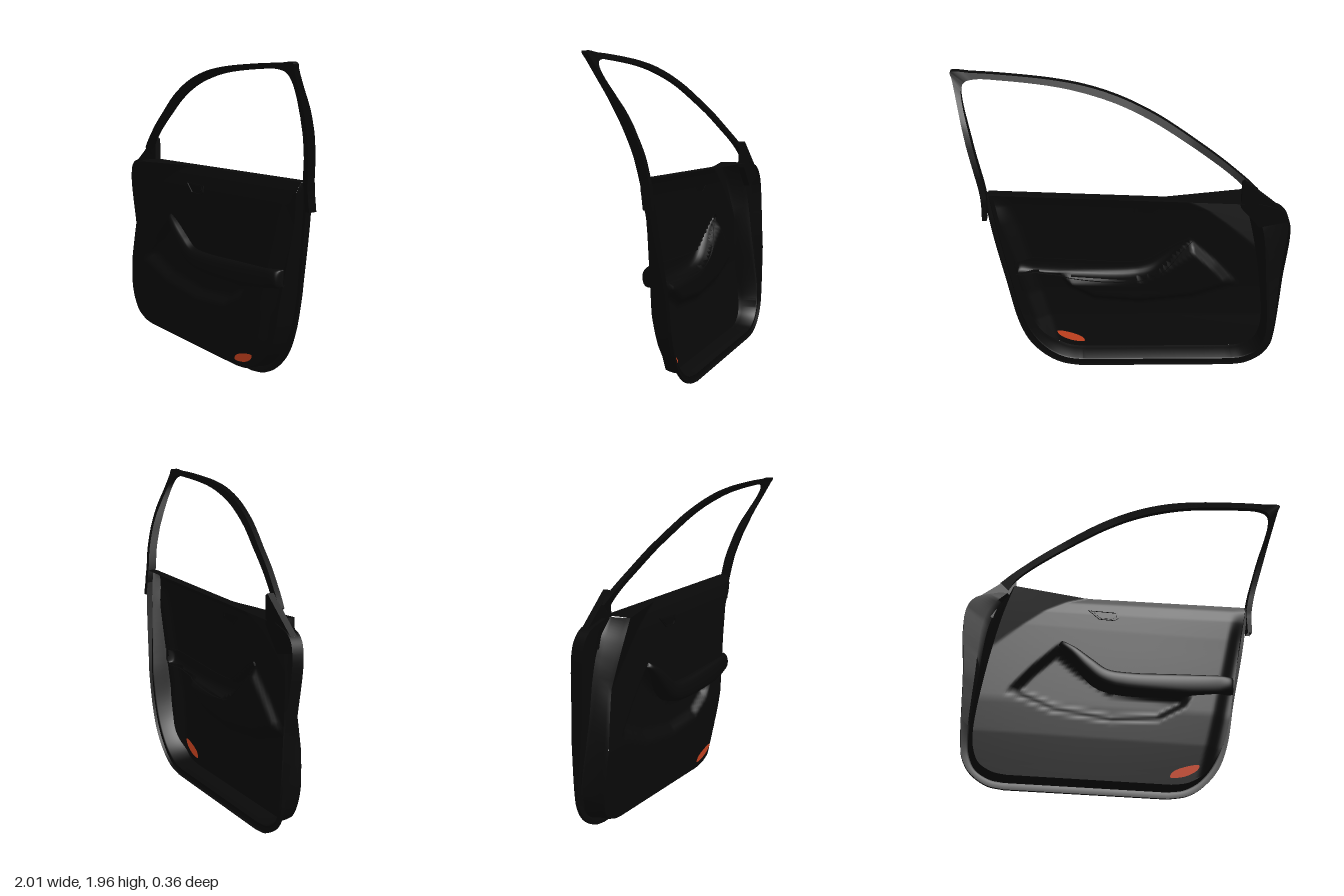
import * as THREE from 'three';
import { toCreasedNormals } from 'three/addons/utils/BufferGeometryUtils.js';

const material = (name, color) => {
  const m = new THREE.MeshStandardMaterial({ color, side: THREE.DoubleSide });
  m.name = name;
  return m;
};
const trim = material('blackTrim', 0x090909);
const frameBlack = material('frameBlack', 0x080808);
const orange = material('reflectorOrange', 0xcc4420);

const { lerp, clamp, smoothstep } = THREE.MathUtils;

// Piecewise linear value from [position, value] pairs
function ramp(pairs, p) {
  if (p <= pairs[0][0]) return pairs[0][1];
  for (let i = 1; i < pairs.length; i++) {
    const [a, va] = pairs[i - 1], [b, vb] = pairs[i];
    if (p <= b) return lerp(va, vb, (p - a) / (b - a));
  }
  return pairs[pairs.length - 1][1];
}

// Distance from a point inside a polygon to its border, 0 outside
function insideDistance(poly, x, y) {
  let inside = false, best = Infinity;
  poly.forEach(([ax, ay], i) => {
    const [bx, by] = poly[(i + 1) % poly.length], dx = bx - ax, dy = by - ay;
    if ((ay > y) !== (by > y) && x < ax + dx * (y - ay) / dy) inside = !inside;
    const t = clamp(((x - ax) * dx + (y - ay) * dy) / (dx * dx + dy * dy), 0, 1);
    best = Math.min(best, Math.hypot(x - ax - dx * t, y - ay - dy * t));
  });
  return inside ? best : 0;
}

const curve = pts => new THREE.CatmullRomCurve3(pts.map(([x, y, z = 0]) => new THREE.Vector3(x, y, z)));
const polygon = pts => new THREE.Shape(pts.map(([x, y]) => new THREE.Vector2(x, y)));

// Surface through rows of equally many points; keep(x, y) may leave cells open
function skin(rows, keep = () => true) {
  const n = rows[0].length, index = [];
  for (let r = 0; r < rows.length - 1; r++) {
    for (let c = 0; c < n - 1; c++) {
      const a = r * n + c, b = a + n, p = rows[r][c], q = rows[r + 1][c + 1];
      if (keep((p[0] + q[0]) / 2, (p[1] + q[1]) / 2)) index.push(a, a + 1, b + 1, a, b + 1, b);
    }
  }
  const g = new THREE.BufferGeometry();
  g.setAttribute('position', new THREE.Float32BufferAttribute(rows.flat(2), 3));
  g.setIndex(index);
  g.computeVertexNormals();
  return g;
}

// Depth of the moulded face at (x, y)
const BASE = [[0.04, -0.045], [0.12, -0.035], [0.3, -0.012], [0.5, 0], [0.75, -0.01], [1.0, -0.02],
  [1.1, -0.028], [1.17, -0.045], [1.23, -0.075], [1.29, -0.115]];
const SCOOP = [[-0.43, 0.89], [-0.6, 0.72], [-0.74, 0.55], [-0.45, 0.44], [-0.1, 0.4], [0.2, 0.43], [0.37, 0.53],
  [0.42, 0.63], [-0.08, 0.65], [-0.27, 0.76]];
function faceZ(x, y) {
  const yn = y - 0.0467 * (x + 0.7) * smoothstep(y, 0.9, 1.22);
  let z = ramp(BASE, yn);
  z -= 0.05 * smoothstep(insideDistance(SCOOP, x, y), 0, 0.06);        // storage scoop
  const edge = 0.5 + 0.24 * y;
  z -= 0.045 * smoothstep(x, edge - 0.1, edge + 0.01) * (1 - smoothstep(yn, 1.0, 1.2));
  return Math.max(z, 0.01 + 0.23 * (yn - 1.05) - 0.25 * (x + 0.72));   // mirror corner
}
const flangeZ = y => ramp([[0, -0.174], [0.6, -0.178], [1.1, -0.145], [1.36, -0.11]], y);

// Lays a flat geometry onto the moulded face
function drape(g) {
  const p = g.attributes.position;
  for (let i = 0; i < p.count; i++) p.setZ(i, p.getZ(i) + faceZ(p.getX(i), p.getY(i)));
  g.computeVertexNormals();
  return g;
}

// Side outlines, from the bottom up: outer flange and inner trim
const outerL = curve([[-0.7, 0], [-0.8, 0.018], [-0.9, 0.085], [-0.95, 0.17], [-0.966, 0.26], [-0.983, 0.68], [-1, 1.085], [-0.95, 1.17], [-0.8, 1.22]]);
const innerL = curve([[-0.7, 0.055], [-0.78, 0.068], [-0.86, 0.115], [-0.895, 0.19], [-0.905, 0.3], [-0.86, 0.65], [-0.8, 0.95], [-0.765, 1.08], [-0.72, 1.218]]);
const outerR = curve([[0.28, 0], [0.4, 0.025], [0.5, 0.085], [0.6, 0.2], [0.665, 0.36], [0.725, 0.68], [0.78, 0.97], [0.805, 1.13], [0.825, 1.29]]);
const innerR = curve([[0.27, 0.055], [0.37, 0.072], [0.47, 0.13], [0.56, 0.24], [0.625, 0.39], [0.685, 0.68], [0.74, 0.97], [0.77, 1.13], [0.8, 1.287]]);

// Armrest and pull handle stations: top x, y, bottom x, y, front z
const ARMREST = [[-0.415, 0.905, -0.43, 0.885, -0.03], [-0.405, 0.903, -0.425, 0.875, 0], [-0.33, 0.865, -0.37, 0.815, 0.028],
  [-0.22, 0.79, -0.285, 0.71, 0.04], [-0.13, 0.735, -0.2, 0.635, 0.042], [0, 0.725, -0.08, 0.597, 0.042],
  [0.3, 0.742, 0.3, 0.602, 0.034], [0.58, 0.76, 0.58, 0.64, 0.015], [0.67, 0.765, 0.67, 0.655, 0], [0.685, 0.765, 0.685, 0.66, -0.06]];
const ARMREST_OUTLINE = [...ARMREST.map(s => [s[0], s[1]]), ...ARMREST.map(s => [s[2], s[3]]).reverse()];

// Moulded face, left open behind the hollow armrest
function buildFace() {
  const rows = [];
  for (let j = 0; j <= 110; j++) {
    const L = innerL.getPoint(j / 110), R = innerR.getPoint(j / 110), row = [];
    for (let i = 0; i <= 110; i++) {
      const x = lerp(L.x, R.x, i / 110), y = lerp(L.y, R.y, i / 110);
      row.push([x, y, faceZ(x, y)]);
    }
    rows.push(row);
  }
  return skin(rows, (x, y) => insideDistance(ARMREST_OUTLINE, x, y) < 0.015);
}

// Flange and side wall running round the face
function buildRim() {
  const N = 60, pairs = [];
  const mix = (a, b, t) => a.clone().lerp(b, t);
  for (let i = N; i > 0; i--) pairs.push([outerL.getPoint(i / N), innerL.getPoint(i / N)]);
  for (let i = 0; i < 30; i++) pairs.push([
    mix(outerL.getPoint(0), outerR.getPoint(0), i / 30), mix(innerL.getPoint(0), innerR.getPoint(0), i / 30)]);
  for (let i = 0; i <= N; i++) pairs.push([outerR.getPoint(i / N), innerR.getPoint(i / N)]);
  const rows = pairs.map(([o, n]) => {
    const zo = flangeZ(o.y), zf = faceZ(n.x, n.y);
    const lift = 0.02 + (o.x < 0 ? 0.05 * smoothstep(o.y, 0.15, 0.7) : 0.02 * smoothstep(o.y, 0.5, 1.1));
    return [[0, zo], [0, zo + lift], [0.55, zo + lift], [0.72, zo + lift * 0.7],
      [0.82, zo + lift], [0.92, lerp(zo + lift, zf, 0.8)], [1, zf]].map(([t, z]) => {
      const p = mix(o, n, t);
      return [p.x, p.y, z];
    });
  });
  return toCreasedNormals(skin(rows), 0.7);
}

// Top of the trim, running back to the glass
function buildSill() {
  const L = innerL.getPoint(1), R = innerR.getPoint(1), rows = [];
  for (let i = 0; i <= 40; i++) {
    const x = lerp(L.x, R.x, i / 40), y = lerp(L.y, R.y, i / 40), z = faceZ(x, y);
    rows.push([[x, y, z], [x, y + 0.004, lerp(z, -0.13, 0.5)], [x, y, -0.13]]);
  }
  return toCreasedNormals(skin(rows), 0.7);
}

// Triangular plate between the flange and the window frame
function buildSail() {
  const shape = polygon([[-0.998, 1.09], [-0.95, 1.17], [-0.715, 1.365], [-0.7, 1.355], [-0.7, 1.19], [-0.82, 1.05]]);
  return new THREE.ExtrudeGeometry(shape, { depth: 0.04, bevelEnabled: false }).translate(0, 0, -0.125);
}

// Window frame: top rail, corner and rear pillar
function buildFrame() {
  const st = [[-0.8, 1.292, -0.75, 1.25], [-0.72, 1.362, -0.695, 1.33], [-0.5, 1.525, -0.485, 1.49], [-0.2, 1.712, -0.185, 1.675],
    [0, 1.805, 0.01, 1.768], [0.2, 1.868, 0.21, 1.832], [0.4, 1.905, 0.4, 1.872], [0.7, 1.935, 0.7, 1.905],
    [0.88, 1.946, 0.86, 1.912], [0.998, 1.95, 0.92, 1.895], [0.988, 1.91, 0.938, 1.85], [0.92, 1.6, 0.878, 1.57],
    [0.85, 1.28, 0.815, 1.28], [0.848, 1.12, 0.82, 1.12]];
  const out = curve(st.map(s => [s[0], s[1]])), inn = curve(st.map(s => [s[2], s[3]]));
  const middle = y => ramp([[1.12, -0.115], [1.25, -0.1], [1.4, -0.06], [1.57, -0.005], [1.75, 0.07], [1.95, 0.165]], y);
  const rows = [];
  for (let i = 0; i <= 130; i++) {
    const o = out.getPoint(i / 130), n = inn.getPoint(i / 130), pillar = smoothstep(i / 130, 9 / 13, 11 / 13);
    const shift = lerp(0.015, -0.022, pillar) * clamp((1.95 - o.y) / 0.25, 0, 1) * smoothstep(o.y, 1.2, 1.5);
    const half = lerp(0.017, 0.027, pillar * smoothstep(1.95 - o.y, 0, 0.3));
    const at = (p, d) => [p.x, p.y, middle(p.y) + shift + d];
    rows.push([at(o, -half), at(o, half), at(n, half), at(n, -half), at(o, -half)]);
  }
  return toCreasedNormals(skin(rows), 0.7);
}

// Hollow armrest flowing up into the pull handle
function buildArmrest() {
  const top = curve(ARMREST.map(s => [s[0], s[1], s[4]]));
  const low = curve(ARMREST.map(s => [s[2], s[3]]));
  const rows = [];
  for (let i = 0; i <= 72; i++) {
    const a = top.getPoint(i / 72), b = low.getPoint(i / 72), row = [];
    for (let k = 0; k <= 14; k++) {
      const w = Math.PI * k / 14, t = (1 - Math.cos(w)) / 2;
      const x = lerp(a.x, b.x, t), y = lerp(a.y, b.y, t);
      const foot = Math.min(faceZ(x, y) - 0.006, a.z);
      row.push([x, y, lerp(foot, a.z, Math.sqrt(Math.max(0, Math.sin(w))))]);
    }
    rows.push(row);
  }
  return skin(rows);
}

// Door release outline, scaled about its middle
const releaseOutline = scale => polygon([[-0.25, 1.14], [-0.06, 1.14], [-0.058, 1.1], [-0.08, 1.08], [-0.18, 1.08]].map(
  ([x, y]) => [-0.145 + (x + 0.145) * scale, 1.112 + (y - 1.112) * scale]));
const raised = (shape, depth) => drape(new THREE.ExtrudeGeometry(shape, { depth, bevelEnabled: false }));

export function createModel() {
  const door = new THREE.Group();
  door.name = 'doorPanel';
  const add = (name, geometry, mat) => {
    const mesh = new THREE.Mesh(geometry, mat);
    mesh.name = name;
    door.add(mesh);
  };
  add('trimFace', buildFace(), trim);
  add('rimFlange', buildRim(), trim);
  add('windowSill', buildSill(), trim);
  add('armrest', buildArmrest(), trim);
  add('mirrorSail', buildSail(), frameBlack);
  add('windowFrame', buildFrame(), frameBlack);

  const bezel = releaseOutline(1);
  bezel.holes.push(releaseOutline(0.85));
  add('releaseBezel', raised(bezel, 0.009), frameBlack);
  add('releaseLever', raised(releaseOutline(0.7), 0.004), frameBlack);

  // Leaf-shaped reflector, showing on both sides of the panel
  const leaf = curve([[0.26, 0.098], [0.275, 0.128], [0.35, 0.163], [0.44, 0.178], [0.425, 0.147], [0.345, 0.105]]);
  leaf.closed = true;
  const leafShape = polygon(leaf.getPoints(40).slice(0, -1).map(p => [p.x, p.y]));
  for (const [name, offset] of [['reflectorFront', 0.004], ['reflectorBack', -0.004]])
    add(name, drape(new THREE.ShapeGeometry(leafShape).translate(0, 0, offset)), orange);
  return door;
}
